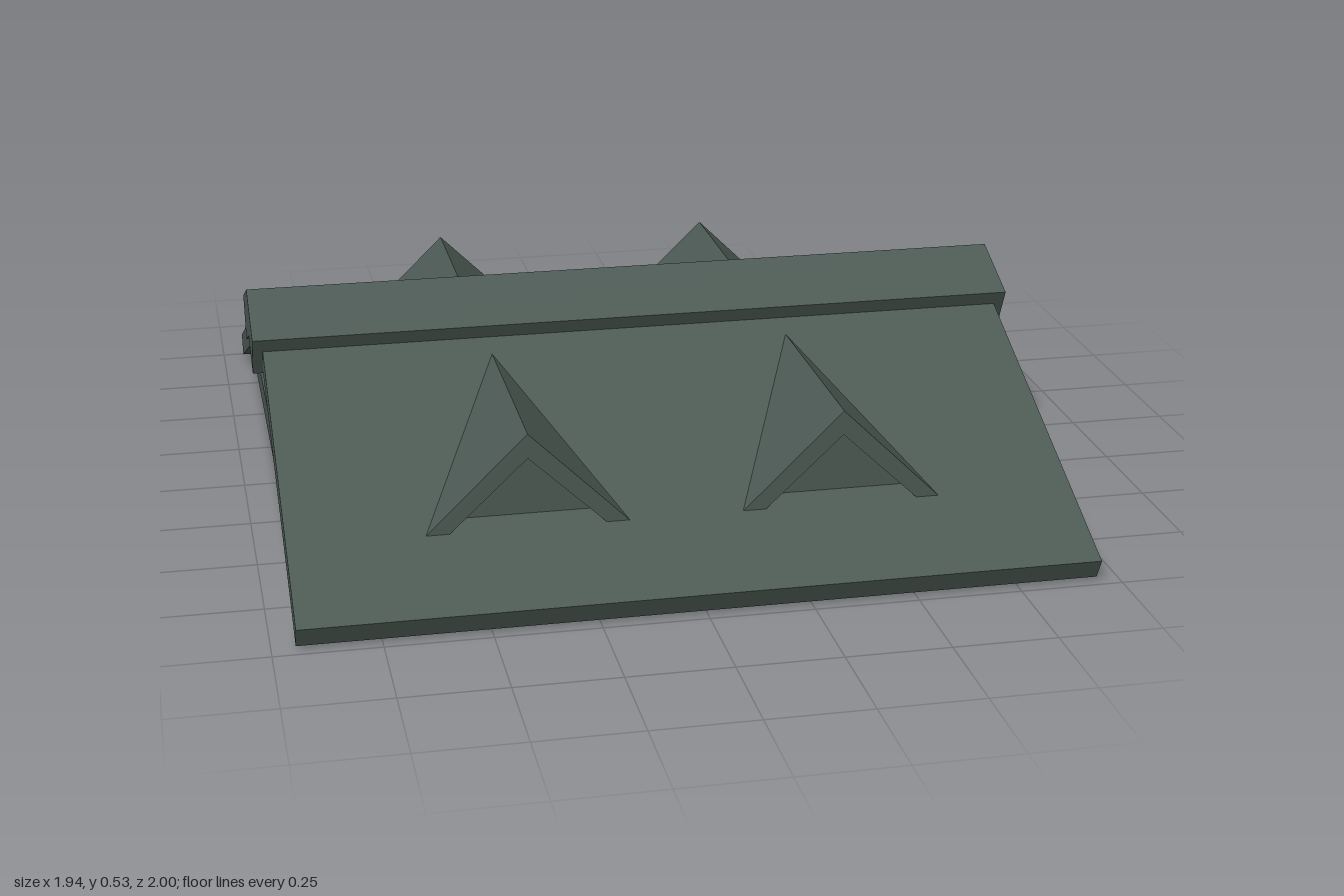
import * as THREE from 'three';

export function createModel() {
  const group = new THREE.Group();
  const slate = new THREE.MeshStandardMaterial({ color: 0x4d5a54 });
  slate.name = 'slate green';

  const add = (name, geometry, parent = group) => {
    const mesh = new THREE.Mesh(geometry, slate);
    mesh.name = name;
    parent.add(mesh);
    return mesh;
  };

  // Extrude a flat outline from z = from to z = to
  const extrude = (points, from, to) => {
    const shape = new THREE.Shape(points.map(([x, y]) => new THREE.Vector2(x, y)));
    const geometry = new THREE.ExtrudeGeometry(shape, { depth: to - from, bevelEnabled: false });
    return geometry.translate(0, 0, from);
  };

  // Profiles across the roof (z, y), run along x
  const alongX = (points, half) => extrude(points, -half, half).rotateY(Math.PI / 2);

  // Mirror a half outline about its centre line
  const mirrored = (outer, inner) => [
    ...outer.map(([x, y]) => [-x, y]).reverse(), ...outer.slice(1),
    ...[...inner].reverse(), ...inner.slice(1).map(([x, y]) => [-x, y]),
  ];

  add('roofSlopes', alongX(mirrored([[0, 0.49], [1, 0.06]], [[0, 0.408], [0.973, 0.008]]), 0.945));
  add('ridgeCap', alongX(mirrored([[0, 0.53], [0.18, 0.455]], [[0, 0.408], [0.13, 0.352]]), 0.97));

  // Recessed gable walls above the base slab
  add('gableWalls', alongX([[-0.82, 0.07], [0.82, 0.07], [0, 0.411]], 0.85));
  add('baseSlab', new THREE.BoxGeometry(1.83, 0.075, 1.83).translate(0, 0.0375, 0));

  // Two dormers on each slope: a peaked hood with a recessed panel
  const hood = extrude(mirrored([[0, 0.395], [0.24, 0.16]], [[0, 0.335], [0.185, 0.16]]), 0.2, 0.77);
  const panel = extrude([[-0.2, 0.155], [0.2, 0.155], [0, 0.345]], 0.6, 0.725);
  for (const side of [1, -1]) {
    for (const x of [-0.382, 0.372]) {
      const dormer = new THREE.Group();
      dormer.name = 'dormer';
      add('dormerHood', hood, dormer);
      add('dormerPanel', panel, dormer);
      dormer.position.x = x;
      dormer.rotation.y = side > 0 ? 0 : Math.PI;
      group.add(dormer);
    }
  }
  return group;
}
